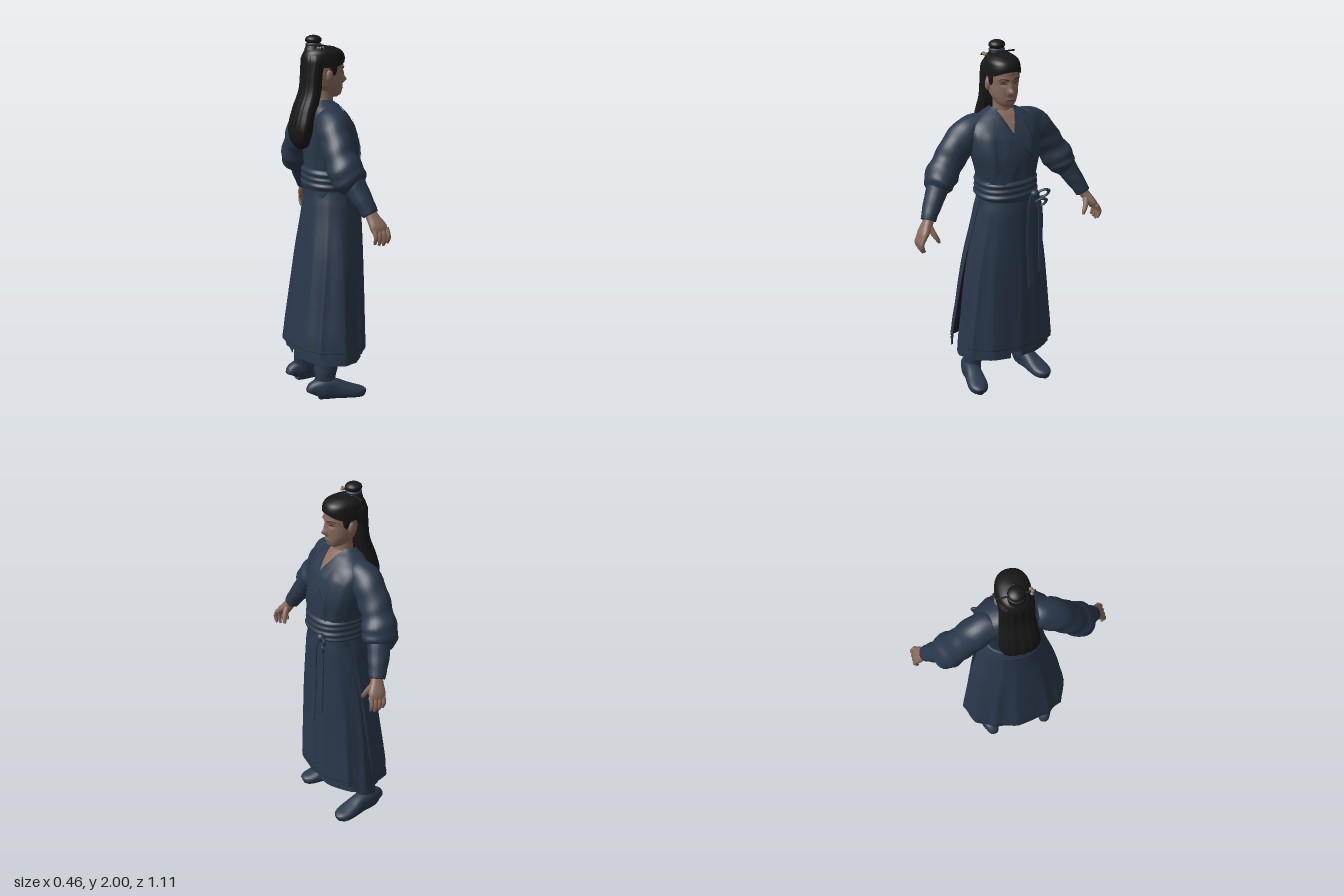
import * as THREE from 'three';

const material = (name, color) => {
  const m = new THREE.MeshStandardMaterial({ color, side: THREE.DoubleSide });
  m.name = name;
  return m;
};

// Catmull-Rom sampling of table rows; u runs over row indices
function sample(rows, u) {
  const i = Math.min(Math.floor(u), rows.length - 2), t = u - i;
  const r = k => rows[Math.max(0, Math.min(rows.length - 1, k))];
  return rows[0].map((_, c) => {
    const a = r(i - 1)[c], b = r(i)[c], d = r(i + 1)[c], e = r(i + 2)[c];
    return b + 0.5 * t * (d - a + t * (2 * a - 5 * b + 4 * d - e + t * (3 * (b - d) + e - a)));
  });
}
// Row at a height, for tables of [y, back, front, halfWidth] with falling y
function at(rows, y) {
  let i = 0;
  while (i < rows.length - 2 && rows[i + 1][0] > y) i++;
  const t = THREE.MathUtils.clamp((y - rows[i][0]) / (rows[i + 1][0] - rows[i][0]), 0, 1);
  return sample(rows, i + t);
}
const sup = (v, p) => Math.sign(v) * Math.abs(v) ** (2 / p);

// Skin a list of point rings
function loft(rings, closed = true) {
  const n = rings[0].length, index = [];
  for (let i = 0; i < rings.length - 1; i++)
    for (let j = 0; j < (closed ? n : n - 1); j++) {
      const k = (j + 1) % n, a = i * n + j, c = i * n + k;
      index.push(a, c, a + n, c, c + n, a + n);
    }
  const g = new THREE.BufferGeometry();
  g.setAttribute('position', new THREE.Float32BufferAttribute(rings.flat(2), 3));
  g.setIndex(index);
  g.computeVertexNormals();
  return g;
}
// Upright body: rule(x, y, z, angle) may move each point
function upright(rows, { steps = 30, n = 48, p = 2.3, from = 0, to = Math.PI * 2, rule = (x, y, z) => [x, y, z] } = {}) {
  const closed = to - from > 6.28, rings = [];
  for (let i = 0; i <= steps; i++) {
    const y = THREE.MathUtils.lerp(rows[0][0], rows.at(-1)[0], i / steps), [, b, f, w] = at(rows, y), ring = [];
    for (let j = 0; j < n; j++) {
      const a = from + (to - from) * j / (closed ? n : n - 1);
      ring.push(rule((b + f) / 2 + (f - b) / 2 * sup(Math.cos(a), p), y, w * sup(Math.sin(a), p), a));
    }
    rings.push(ring);
  }
  return loft(rings, closed);
}
// Limb along rows of [x, y, z, radiusAlongHint, radiusAcross], rounded shut at both ends
function limb(rows, { hint = [1, 0, 0], n = 20, per = 5, p = 2, wrinkle = 0 } = {}) {
  const rings = [], end = rows.length - 1, total = end * per;
  for (let i = 0; i <= total; i++) {
    const u = i / per, s = sample(rows, u);
    const c = new THREE.Vector3(...s);
    const t = new THREE.Vector3(...sample(rows, Math.min(u + 0.1, end))).sub(new THREE.Vector3(...sample(rows, Math.max(u - 0.1, 0)))).normalize();
    const U = new THREE.Vector3(...hint).addScaledVector(t, -t.dot(new THREE.Vector3(...hint))).normalize();
    const V = t.clone().cross(U), ring = [];
    for (let j = 0; j < n; j++) {
      const a = j / n * Math.PI * 2, k = 1 + wrinkle * Math.sin(u * 5.5 + 1.3 * Math.sin(a * 2));
      ring.push(c.clone().addScaledVector(U, s[3] * k * sup(Math.cos(a), p)).addScaledVector(V, s[4] * k * sup(Math.sin(a), p)).toArray());
    }
    if (i === 0) rings.push(ring.map(() => c.toArray()));
    rings.push(ring);
    if (i === total) rings.push(ring.map(() => c.toArray()));
  }
  return loft(rings);
}
// Thin panel lying on a front surface between two lines of [z, y]
function panel(surface, A, B, off) {
  const rings = [];
  for (let i = 0; i <= 20; i++) {
    const a = sample(A, i / 20 * (A.length - 1)), b = sample(B, i / 20 * (B.length - 1)), ring = [];
    for (let j = 0; j <= 8; j++) {
      const z = THREE.MathUtils.lerp(a[0], b[0], j / 8), y = THREE.MathUtils.lerp(a[1], b[1], j / 8);
      ring.push([surface(y, z) + off, y, z]);
    }
    rings.push(ring);
  }
  return loft(rings, false);
}
const frontOf = (rows, p) => (y, z) => {
  const [, b, f, w] = at(rows, y);
  return (b + f) / 2 + (f - b) / 2 * Math.max(0, 1 - Math.abs(z / w) ** p) ** (1 / p);
};

export function createModel() {
  const model = new THREE.Group();
  const robe = material('robe navy', 0x2a384b), trim = material('seam navy', 0x202b3a), dark = material('lining black', 0x1a1a1b);
  const hair = material('hair black', 0x171717), skin = material('skin', 0x896a5c), brow = material('brow brown', 0x42332d);
  const add = (name, geometry, mat, pos = [0, 0, 0], scale = [1, 1, 1]) => {
    const m = new THREE.Mesh(geometry, mat);
    m.name = name;
    m.position.set(...pos);
    m.scale.set(...scale);
    model.add(m);
    return m;
  };
  const ball = new THREE.SphereGeometry(1, 24, 16);

  // Head with nose, eye sockets, lips and chin pushed out of the oval
  const skull = [[1.925, -0.1, 0.055, 0.055], [1.88, -0.128, 0.082, 0.078], [1.83, -0.13, 0.088, 0.08], [1.78, -0.12, 0.085, 0.078],
    [1.73, -0.09, 0.083, 0.071], [1.7, -0.06, 0.081, 0.058], [1.68, -0.03, 0.075, 0.044], [1.665, 0, 0.055, 0.02]];
  const bell = (v, c, s) => Math.exp(-(((v - c) / s) ** 2));
  const relief = (y, z) => 0.026 * bell(y, 1.755, 0.016) * bell(z, 0, 0.015) + 0.014 * bell(y, 1.785, 0.028) * bell(z, 0, 0.011)
    - 0.009 * bell(y, 1.8, 0.013) * bell(Math.abs(z), 0.035, 0.02) + 0.006 * bell(y, 1.712, 0.009) * bell(z, 0, 0.022)
    + 0.004 * bell(y, 1.825, 0.01) * bell(Math.abs(z), 0.035, 0.03);
  add('head', upright(skull, { steps: 60, n: 80, p: 2.2, rule: (x, y, z) => [x > 0.02 ? x + relief(y, z) : x, y, z] }), skin);
  const face = (y, z) => frontOf(skull, 2.2)(y, z) + relief(y, z);
  add('mouth', panel(face, [[-0.022, 1.711], [0.022, 1.711]], [[-0.022, 1.708], [0.022, 1.708]], 0.002), brow);
  add('neck', limb([[-0.02, 1.72, 0, 0.05, 0.052], [-0.02, 1.65, 0, 0.05, 0.052], [-0.015, 1.57, 0, 0.06, 0.07]]), skin);

  // Hair: cap, long back fall, bun and pin
  const cap = [[1.946, -0.04, -0.02, 0.008], [1.937, -0.095, 0.035, 0.05], [1.917, -0.125, 0.076, 0.078], [1.89, -0.14, 0.093, 0.09], [1.865, -0.142, 0.094, 0.092]];
  add('hairCap', upright(cap, { steps: 20, rule: (x, y, z, a) => [x, y - 0.035 * Math.sin(a) ** 2 * Math.max(0, (1.9 - y) / 0.035), z] }), hair);
  const fall = [[1.915, -0.12, -0.03, 0.06], [1.88, -0.14, -0.01, 0.09], [1.8, -0.142, -0.04, 0.092], [1.7, -0.152, -0.05, 0.094], [1.6, -0.188, -0.075, 0.103],
    [1.5, -0.21, -0.1, 0.11], [1.43, -0.2, -0.12, 0.092], [1.4, -0.18, -0.13, 0.06], [1.385, -0.165, -0.155, 0.01]];
  add('longHair', upright(fall, { steps: 40, n: 64, rule: (x, y, z, a) => [x + 0.002 * Math.sin(a * 16), y, z] }), hair);
  add('bunBase', new THREE.CylinderGeometry(0.032, 0.05, 0.05, 24), hair, [-0.08, 1.945, 0]);
  add('bun', ball, hair, [-0.08, 1.975, 0], [0.045, 0.026, 0.045]);
  add('bunBand', new THREE.TorusGeometry(0.036, 0.008, 8, 24).rotateX(Math.PI / 2), robe, [-0.08, 1.95, 0]);
  add('hairPin', new THREE.CylinderGeometry(0.005, 0.005, 0.2, 10).rotateX(Math.PI / 2), dark, [-0.07, 1.935, 0]);
  for (const k of [0, 1, 2]) add('pinFlower', ball, skin, [-0.07 + 0.013 * (k - 1), 1.936, 0.078 + 0.007 * (k % 2)], [0.01, 0.008, 0.01]);

  // Upper robe with crossed lapels
  const torso = [[1.655, -0.08, 0.01, 0.062], [1.625, -0.105, 0.045, 0.115], [1.58, -0.12, 0.085, 0.185], [1.52, -0.128, 0.127, 0.205],
    [1.42, -0.125, 0.158, 0.197], [1.32, -0.12, 0.164, 0.172], [1.24, -0.12, 0.165, 0.156], [1.13, -0.122, 0.168, 0.162]];
  add('upperRobe', upright(torso, { steps: 36, n: 64, p: 2.3, rule: (x, y, z, a) => [x + 0.003 * Math.sin(a * 11 + y * 9) * (y < 1.55 ? 1 : 0), y, z] }), robe);
  const chest = frontOf(torso, 2.3);
  add('chestSkin', panel(chest, [[-0.05, 1.645], [0, 1.535]], [[0.05, 1.645], [0, 1.535]], 0.007), skin);
  const lapel = (name, A, B, off, edge) => {
    add(name, panel(chest, A, B, off), robe);
    add(name + 'Edge', panel(chest, edge, edge.map(([z, y]) => [z + 0.005, y - 0.004]), off + 0.003), trim);
  };
  const under = [[0.056, 1.65], [0.03, 1.585], [-0.02, 1.5], [-0.1, 1.4]], over = [[-0.056, 1.65], [-0.03, 1.585], [0.03, 1.48], [0.14, 1.27]];
  lapel('underLapel', under, [[0.085, 1.635], [0.07, 1.565], [0.03, 1.47], [-0.06, 1.36]], 0.008, under);
  lapel('overLapel', over, [[-0.085, 1.635], [-0.075, 1.54], [-0.03, 1.43], [0.07, 1.27]], 0.012, over);
  for (const s of [1, -1]) {
    const seam = [[s * 0.075, 1.63], [s * 0.11, 1.5], [s * 0.1, 1.28]];
    add('chestSeam', panel(chest, seam, seam.map(([z, y]) => [z + 0.005, y]), 0.007), trim);
  }

  // Wrapped sash, knot, loops and hanging ends
  const sash = [[1.285, -0.126, 0.17, 0.16], [1.27, -0.134, 0.177, 0.167], [1.22, -0.136, 0.18, 0.167], [1.18, -0.138, 0.184, 0.172], [1.165, -0.128, 0.174, 0.163]];
  add('sash', upright(sash, { steps: 30, n: 64, rule: (x, y, z, a) => {
    const k = 1 + 0.018 * Math.sin(y * 190 + 2 * Math.sin(a));
    return [x * k, y, z * k];
  } }), robe);
  add('sashKnot', ball, robe, [0.178, 1.195, -0.1], [0.022, 0.024, 0.026]);
  for (const [dz, dy] of [[-0.045, 0.005], [-0.03, -0.045]]) {
    const loop = add('sashLoop', new THREE.TorusGeometry(0.026, 0.008, 8, 20), robe, [0.185, 1.19 + dy, -0.1 + dz], [1.3, 0.75, 1]);
    loop.rotation.set(0.5, Math.PI / 2 - 0.4, 0);
  }
  const end = (name, pts, w) => add(name, limb(pts.map(q => [...q, 0.004, w]), { n: 12, p: 4 }), robe);
  end('longSashEnd', [[0.185, 1.2, -0.09], [0.195, 1.12, -0.066], [0.198, 0.95, -0.062], [0.204, 0.8, -0.062], [0.217, 0.66, -0.063]], 0.021);
  end('shortSashEnd', [[0.18, 1.19, -0.11], [0.185, 1.1, -0.13], [0.19, 0.92, -0.13], [0.2, 0.74, -0.13]], 0.014);

  // Pleated skirts: front panel, wide back panel with black lining, inner halves
  const pleat = (amp, inset = 0) => (x, y, z, a) => {
    const k = 1 - inset - amp * THREE.MathUtils.clamp((1.2 - y) / 0.6, 0, 1) * Math.abs(Math.sin(a * 6 + 0.5 * Math.sin(a * 5 + y * 2)));
    return [x * k, y, z * k];
  };
  const front = [[1.2, -0.1, 0.168, 0.155], [1.1, -0.12, 0.183, 0.177], [0.8, -0.15, 0.19, 0.228], [0.5, -0.16, 0.193, 0.262], [0.262, -0.16, 0.195, 0.285]];
  const back = [[1.2, -0.122, 0.165, 0.157], [1.1, -0.13, 0.17, 0.18], [0.8, -0.17, 0.16, 0.245], [0.5, -0.207, 0.15, 0.29], [0.27, -0.235, 0.15, 0.318]];
  const inner = [[1.2, -0.11, 0.155, 0.148], [1.0, -0.125, 0.165, 0.185], [0.7, -0.165, 0.17, 0.235], [0.4, -0.195, 0.17, 0.265], [0.215, -0.2, 0.17, 0.285]];
  add('frontSkirt', upright(front, { n: 70, from: -1.3, to: 1.3, p: 2.1, rule: pleat(0.045) }), robe);
  const sweep = { n: 90, from: 1.5, to: Math.PI * 2 - 1.5, p: 2.1 };
  add('backSkirt', upright(back, { ...sweep, rule: pleat(0.05) }), robe);
  add('backSkirtLining', upright(back, { ...sweep, rule: pleat(0.05, 0.018) }), dark);
  for (const from of [0.13, Math.PI + 0.13]) {
    const half = { n: 60, from, to: from + Math.PI - 0.26, p: 2 };
    add('innerSkirt', upright(inner, { ...half, rule: pleat(0.03) }), robe);
    add('innerSkirtLining', upright(inner, { ...half, rule: pleat(0.03, 0.02) }), dark);
  }
  // Hem seams
  for (const [rows, o] of [[front, { n: 70, from: -1.3, to: 1.3, rule: pleat(0.045, -0.006) }], [back, { ...sweep, rule: pleat(0.05, -0.006) }]]) {
    const y = rows.at(-1)[0];
    add('hemSeam', upright([[y + 0.028, ...at(rows, y + 0.028).slice(1)], [y + 0.023, ...at(rows, y + 0.023).slice(1)]], { ...o, steps: 1, p: 2.1 }), trim);
  }

  for (const s of [1, -1]) {
    // Face sides
    add('eyebrow', panel(face, [[s * 0.014, 1.824], [s * 0.04, 1.832], [s * 0.06, 1.823]], [[s * 0.014, 1.817], [s * 0.04, 1.826], [s * 0.06, 1.82]], 0.002), brow);
    add('eye', panel(face, [[s * 0.02, 1.8], [s * 0.035, 1.805], [s * 0.052, 1.801]], [[s * 0.02, 1.798], [s * 0.035, 1.797], [s * 0.052, 1.799]], 0.002), brow);
    add('ear', ball, skin, [-0.02, 1.785, s * 0.086], [0.02, 0.033, 0.012]);
    add('sideburn', ball, hair, [0.005, 1.83, s * 0.077], [0.022, 0.045, 0.012]);

    // Sleeves and cuffs
    add('sleeve', limb([[-0.035, 1.55, s * 0.1, 0.07, 0.07], [-0.045, 1.525, s * 0.175, 0.085, 0.092], [-0.05, 1.455, s * 0.25, 0.085, 0.092],
      [-0.048, 1.375, s * 0.308, 0.085, 0.085], [-0.035, 1.305, s * 0.355, 0.098, 0.088], [-0.02, 1.255, s * 0.383, 0.09, 0.072],
      [-0.008, 1.225, s * 0.4, 0.06, 0.05]], { n: 28, per: 8, wrinkle: 0.03 }), robe);
    add('cuff', limb([[-0.015, 1.27, s * 0.38, 0.065, 0.06], [0.01, 1.2, s * 0.42, 0.06, 0.053], [0.035, 1.14, s * 0.455, 0.05, 0.045],
      [0.05, 1.1, s * 0.474, 0.044, 0.04]], { wrinkle: 0.015 }), robe);

    // Hands
    add('palm', limb([[0.048, 1.115, s * 0.466, 0.03, 0.026], [0.06, 1.08, s * 0.488, 0.036, 0.026], [0.075, 1.04, s * 0.517, 0.047, 0.023],
      [0.082, 1.015, s * 0.528, 0.042, 0.018]], { p: 2.5 }), skin);
    for (let k = 0; k < 4; k++) {
      const x = 0.046 + k * 0.024, drop = [0.006, 0, -0.004, 0.008][k];
      add('finger', limb([[x, 1.035, s * 0.524, 0.013, 0.013], [x + 0.004, 1.0, s * 0.543, 0.012, 0.012], [x + 0.005, 0.97 + drop, s * 0.541, 0.011, 0.011],
        [x + 0.004, 0.948 + drop, s * 0.53, 0.007, 0.007]], { n: 10, per: 3 }), skin);
    }
    add('thumb', limb([[0.075, 1.075, s * 0.478, 0.02, 0.016], [0.1, 1.04, s * 0.466, 0.016, 0.015], [0.113, 1.01, s * 0.45, 0.013, 0.012],
      [0.116, 0.99, s * 0.442, 0.008, 0.008]], { n: 10, per: 3 }), skin);

    // Legs and boots
    add('trouserLeg', limb([[-0.03, 0.85, s * 0.09, 0.08, 0.07], [-0.05, 0.5, s * 0.13, 0.07, 0.062], [-0.068, 0.2, s * 0.155, 0.058, 0.05]]), dark);
    add('bootShaft', limb([[-0.065, 0.26, s * 0.15, 0.07, 0.06], [-0.072, 0.19, s * 0.156, 0.066, 0.056], [-0.078, 0.12, s * 0.162, 0.06, 0.05],
      [-0.08, 0.06, s * 0.165, 0.062, 0.047]], { wrinkle: 0.025 }), robe);
    const foot = [[-0.152, 0.035, 0.025], [-0.14, 0.052, 0.04], [-0.09, 0.06, 0.05], [-0.03, 0.056, 0.048], [0.03, 0.043, 0.054], [0.085, 0.033, 0.055], [0.122, 0.027, 0.042], [0.14, 0.02, 0.018]];
    add('bootFoot', limb(foot.map(([x, h, w]) => [x, h + 0.003, s * (0.175 + 0.17 * (x + 0.08)), h, w]), { hint: [0, 1, 0], p: 2.6, n: 28 }), robe);
  }
  return model;
}
